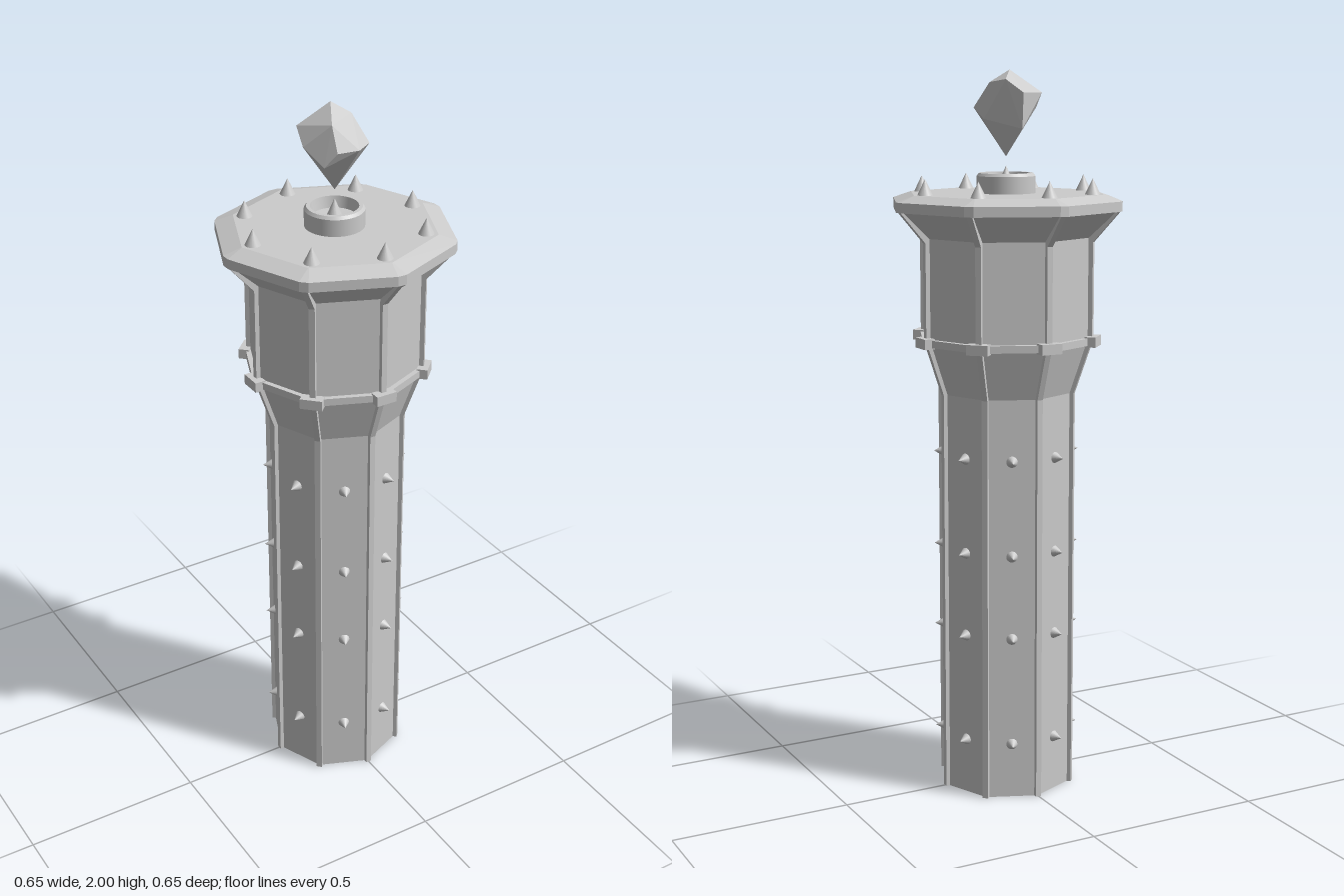
import * as THREE from 'three';
import { ConvexGeometry } from 'three/addons/geometries/ConvexGeometry.js';

const flat = new THREE.MeshStandardMaterial({ color: 0xcccccc, flatShading: true, side: THREE.DoubleSide });
const smooth = new THREE.MeshStandardMaterial({ color: 0xcccccc });
const UP = new THREE.Vector3(0, 1, 0);
const vec = (list) => list.map(([r, y]) => new THREE.Vector2(r, y));

export function createModel() {
  const tower = new THREE.Group();
  tower.name = 'tower';

  const add = (name, geometry, material = flat, parent = tower) => {
    const mesh = new THREE.Mesh(geometry, material);
    mesh.name = name;
    parent.add(mesh);
    return mesh;
  };
  const group = (name) => {
    const g = new THREE.Group();
    g.name = name;
    tower.add(g);
    return g;
  };
  const octagon = (profile) => new THREE.LatheGeometry(vec(profile), 8);

  // Octagonal hollow shaft, flare and upper chamber
  add('walls', octagon([[0.188, 0], [0.188, 1.13], [0.238, 1.28], [0.238, 1.56]]));

  // Cornice and lid: an octagon with clipped outer corners
  const cornice = new THREE.LatheGeometry(
    vec([[0.236, 1.555], [0.31, 1.628], [0.323, 1.628], [0.323, 1.655], [0.275, 1.672], [0.001, 1.672]]), 16);
  const p = cornice.attributes.position;
  const perRing = p.count / 17;
  for (let i = 0; i < p.count; i++) {
    const k = Math.floor(i / perRing);
    const r = Math.hypot(p.getX(i), p.getZ(i));
    const cut = r > 0.28 ? 0.038 : 0.004;
    const a = Math.floor((k + 1) / 2) * Math.PI / 4 + (k % 2 ? -cut : cut);
    p.setXYZ(i, r * Math.sin(a), p.getY(i), r * Math.cos(a));
  }
  cornice.computeVertexNormals();
  add('cornice', cornice);

  // Corner ribs following the wall profile up to the cornice
  const ribShape = new THREE.Shape(vec([
    [0.18, 0], [0.196, 0], [0.196, 1.13], [0.247, 1.28], [0.247, 1.545],
    [0.319, 1.628], [0.29, 1.635], [0.23, 1.57], [0.23, 1.28], [0.18, 1.13],
  ]));
  const ribGeo = new THREE.ExtrudeGeometry(ribShape, { depth: 0.016, bevelEnabled: false });
  ribGeo.translate(0, 0, -0.008);

  // Belt around the foot of the chamber, with a block on each corner
  add('belt', octagon([[0.23, 1.266], [0.253, 1.266], [0.253, 1.286], [0.23, 1.286]]));
  const blockGeo = new THREE.BoxGeometry(0.03, 0.028, 0.06);

  const ribs = group('ribs');
  const blocks = group('beltBlocks');
  const lidSpikes = group('lidSpikes');
  const studs = group('wallStuds');
  const spikeGeo = new THREE.ConeGeometry(0.022, 0.045, 20);
  const studGeo = new THREE.ConeGeometry(0.022, 0.04, 20);

  for (let i = 0; i < 8; i++) {
    const a = i * Math.PI / 4;
    add('rib', ribGeo, flat, ribs).rotation.y = a;

    const block = add('beltBlock', blockGeo, flat, blocks);
    block.position.set(0.247 * Math.cos(a), 1.276, -0.247 * Math.sin(a));
    block.rotation.y = a;

    add('lidSpike', spikeGeo, smooth, lidSpikes)
      .position.set(0.243 * Math.cos(a), 1.693, 0.243 * Math.sin(a));

    // Four studs on every wall face
    const out = new THREE.Vector3(Math.cos(a + Math.PI / 8), 0, Math.sin(a + Math.PI / 8));
    for (const y of [0.155, 0.46, 0.695, 0.96]) {
      const stud = add('wallStud', studGeo, smooth, studs);
      stud.position.copy(out).multiplyScalar(0.182).setY(y);
      stud.quaternion.setFromUnitVectors(UP, out);
    }
  }

  // Round cup on the lid with a spike inside
  const cupProfile = [[0.08, 1.665], [0.08, 1.718], [0.074, 1.726], [0.064, 1.726], [0.058, 1.695], [0.001, 1.69]];
  const cup = group('cup');
  for (let i = 0; i < cupProfile.length - 1; i++) {
    add('cupSurface', new THREE.LatheGeometry(vec(cupProfile.slice(i, i + 2)), 32), smooth, cup);
  }
  add('cupSpike', new THREE.ConeGeometry(0.024, 0.056, 20), smooth, cup).position.y = 1.718;

  // Floating faceted crystal
  const corners = [
    [0, 1.77, 0], [0, 2.0, -0.02], [0.03, 1.975, -0.055], [-0.005, 1.94, -0.09],
    [-0.005, 1.845, -0.084], [-0.08, 1.94, -0.055], [-0.09, 1.9, -0.005], [-0.066, 1.86, 0.058],
    [-0.038, 1.965, 0.05], [-0.04, 1.9, 0.08], [0.02, 1.9, 0.088], [0.07, 1.9, 0.055],
    [0.06, 1.87, 0.015], [0.05, 1.967, 0],
  ].map((c) => new THREE.Vector3(...c));
  add('crystal', new ConvexGeometry(corners));

  return tower;
}
